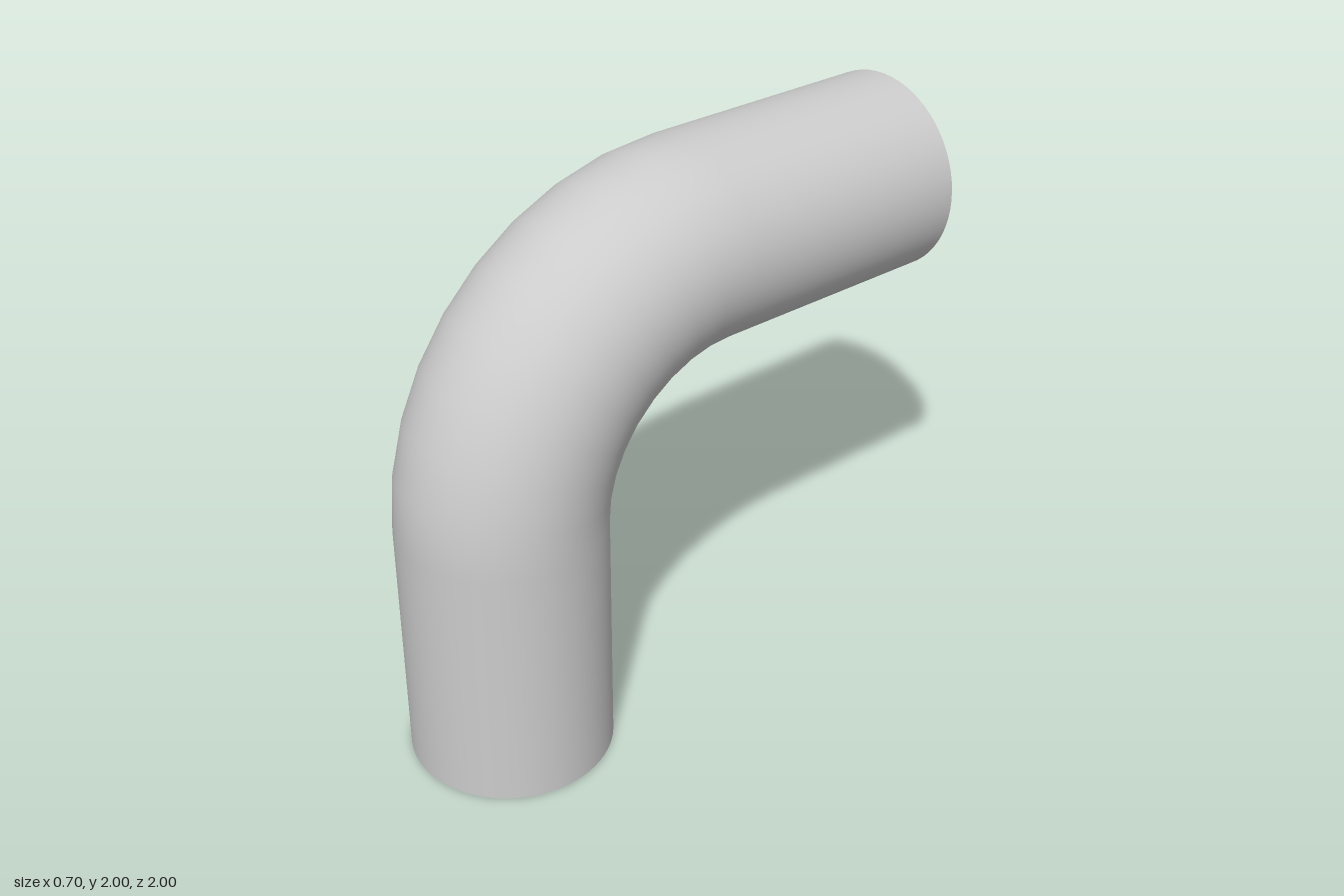
import * as THREE from 'three';

const PIPE_RADIUS = 0.35;
const BEND_RADIUS = 0.77;
const BEND_Y = 0.88;   // height of the bend's centre, and length of each straight run
const BEND_Z = -0.12;
const SIDES = 64;

export function createModel() {
  const group = new THREE.Group();
  group.name = 'pipeElbow';
  const material = new THREE.MeshStandardMaterial({ color: 0xcccccc, side: THREE.DoubleSide });

  const add = (name, geometry) => {
    const mesh = new THREE.Mesh(geometry, material);
    mesh.name = name;
    group.add(mesh);
  };
  const straight = () =>
    new THREE.CylinderGeometry(PIPE_RADIUS, PIPE_RADIUS, BEND_Y, SIDES, 1, true);

  // Upright run, open at the bottom
  add('uprightPipe', straight().translate(0, BEND_Y / 2, BEND_Z + BEND_RADIUS));

  // Quarter-turn bend in ten-degree steps
  add('bend', new THREE.TorusGeometry(BEND_RADIUS, PIPE_RADIUS, SIDES, 9, Math.PI / 2)
    .rotateY(-Math.PI / 2)
    .translate(0, BEND_Y, BEND_Z));

  // Level run towards the back, open at its end
  add('levelPipe', straight()
    .rotateX(Math.PI / 2)
    .translate(0, BEND_Y + BEND_RADIUS, BEND_Z - BEND_Y / 2));

  return group;
}
